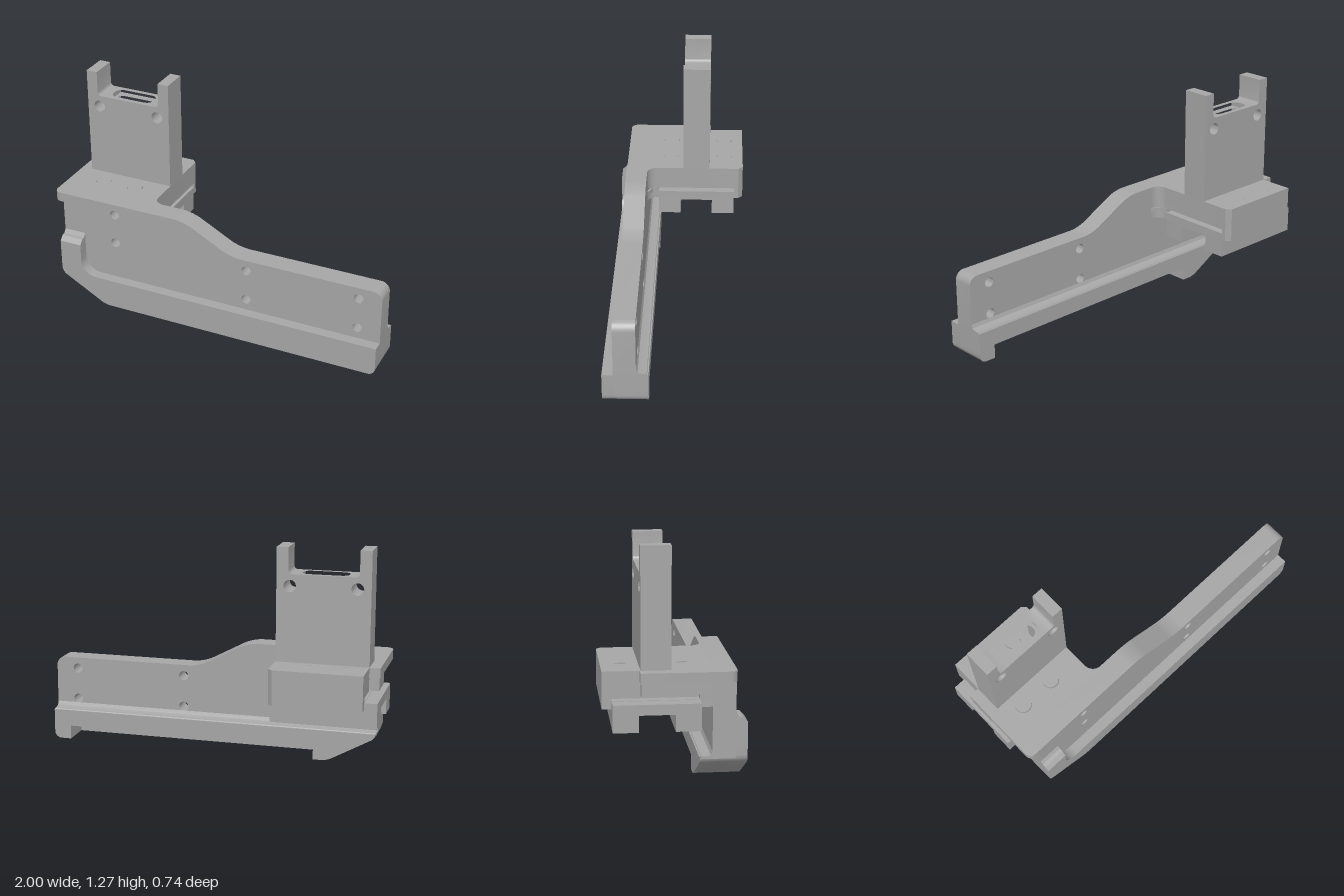
import * as THREE from 'three';
import { toCreasedNormals } from 'three/addons/utils/BufferGeometryUtils.js';

const metal = new THREE.MeshStandardMaterial({ color: 0xa6a6a6 });
metal.name = 'grey metal';

// Closed outline from [u, v, cornerRadius?] points
function outline(points) {
  const s = new THREE.Shape();
  const n = points.length;
  points.forEach(([u, v, r = 0], i) => {
    const toward = ([a, b]) => {
      const d = Math.hypot(a - u, b - v) || 1;
      return [u + ((a - u) * r) / d, v + ((b - v) * r) / d];
    };
    const a = toward(points[(i + n - 1) % n]);
    const b = toward(points[(i + 1) % n]);
    if (i === 0) s.moveTo(a[0], a[1]);
    else s.lineTo(a[0], a[1]);
    if (r) s.bezierCurveTo(a[0] + (u - a[0]) * 0.55, a[1] + (v - a[1]) * 0.55,
      b[0] + (u - b[0]) * 0.55, b[1] + (v - b[1]) * 0.55, b[0], b[1]);
  });
  s.closePath();
  return s;
}

const rect = (u0, v0, u1, v1, r = 0) => [[u0, v0, r], [u1, v0, r], [u1, v1, r], [u0, v1, r]];
const ring = (u, v, r, n = 24) => Array.from({ length: n }, (_, i) =>
  [u + r * Math.cos((i / n) * 2 * Math.PI), v + r * Math.sin((i / n) * 2 * Math.PI)]);

export function createModel() {
  const model = new THREE.Group();

  // Extrude along an axis: points are (x,y) for z, (x,z) for y, (z,y) for x
  function solid(name, axis, from, to, points, holes = []) {
    const map = (list) => list.map(([u, v, r]) =>
      axis === 'z' ? [u, v, r] : axis === 'y' ? [u, -v, r] : [-u, v, r]);
    const shape = outline(map(points));
    shape.holes = holes.map((h) => outline(map(h)));
    let g = new THREE.ExtrudeGeometry(shape, { depth: to - from, bevelEnabled: false, curveSegments: 8 });
    g.translate(0, 0, from);
    if (axis === 'y') g.rotateX(-Math.PI / 2);
    if (axis === 'x') g.rotateY(Math.PI / 2);
    g = toCreasedNormals(g, 0.6);
    const mesh = new THREE.Mesh(g, metal);
    mesh.name = name;
    model.add(mesh);
  }

  // Tall side plate with bolt holes
  const boltHoles = [[-0.6, 0.575], [-0.6, 0.395], [0.215, 0.42], [0.215, 0.235], [0.87, 0.42], [0.87, 0.235]];
  solid('sidePlate', 'z', 0.19, 0.31, [
    [-0.93, 0.17], [1, 0.17], [1, 0.485, 0.05], [0.12, 0.485, 0.06], [-0.17, 0.64, 0.06], [-0.93, 0.64],
  ], boltHoles.map(([x, y]) => ring(x, y, 0.028)));

  // Raised front lip with its stepped left end
  solid('frontLip', 'z', 0.3, 0.37, [
    [-0.93, 0.155, 0.03], [-0.65, 0, 0.03], [1, 0, 0.04], [1, 0.17], [-0.8, 0.17, 0.09],
    [-0.8, 0.3], [-0.93, 0.3],
  ]);
  solid('lipStep', 'x', -0.93, -0.8, [
    [0.305, 0.3], [0.37, 0.3], [0.37, 0.36], [0.345, 0.385], [0.325, 0.388], [0.31, 0.41], [0.305, 0.41],
  ]);

  // Bottom rail, hollowed beneath between two end feet
  solid('bottomRail', 'y', 0.08, 0.175, rect(-0.57, 0.125, 1, 0.305),
    [-0.35, 0.17, 0.69].map((x) => ring(x, 0.215, 0.028)));
  solid('leftFoot', 'z', 0.125, 0.305, [[0.9, 0], [1, 0, 0.04], [1, 0.08], [0.9, 0.08]]);
  solid('rightFoot', 'z', 0.125, 0.305,
    [[-0.57, 0], [-0.65, 0, 0.03], [-0.93, 0.155, 0.03], [-0.93, 0.175], [-0.57, 0.175]]);
  solid('railFillet', 'x', -0.93, 1, [
    [0.2, 0.17], [0.13, 0.17], [0.135, 0.18], [0.165, 0.183], [0.182, 0.19], [0.19, 0.21], [0.2, 0.21],
  ]);

  // Mounting block, stacked in layers, with a fillet into the side plate
  const edge = [[-0.93, -0.37], [-0.44, -0.37], [-0.415, -0.345], [-0.415, 0.19, 0.06], [-0.35, 0.19], [-0.35, 0.2], [-0.93, 0.2]];
  const topEdge = [...edge, [-0.93, 0.31], [-0.99, 0.31, 0.04], [-0.99, -0.18], [-0.93, -0.18]];
  const screws = [[-0.81, -0.26], [-0.605, -0.26], [-0.81, 0.055], [-0.605, 0.055]];
  solid('blockBase', 'y', 0.445, 0.485, edge);
  solid('blockGrooveCore', 'y', 0.485, 0.51, rect(-0.88, -0.33, -0.465, 0.13));
  solid('blockGrooveBack', 'y', 0.485, 0.51, [[-0.93, -0.37], [-0.44, -0.37], [-0.415, -0.345], [-0.415, -0.32], [-0.93, -0.32]]);
  solid('blockGrooveFront', 'y', 0.485, 0.51,
    [[-0.93, 0.125], [-0.415, 0.125], [-0.405, 0.16], [-0.35, 0.19], [-0.35, 0.2], [-0.93, 0.2]]);
  solid('blockBody', 'y', 0.51, 0.585, edge);
  solid('blockShelf', 'y', 0.585, 0.61, topEdge);
  solid('blockTop', 'y', 0.61, 0.64, topEdge, screws.map(([x, z]) => ring(x, z, 0.057)));
  solid('blockTab', 'y', 0.515, 0.585, rect(-0.985, -0.175, -0.92, -0.02));

  // Sunken socket-head screws
  for (const [x, z] of screws) {
    solid('screwHead', 'y', 0.605, 0.632, ring(x, z, 0.045), [ring(x, z, 0.025, 6)]);
  }

  // Slider with a channel underneath
  solid('slider', 'x', -1, -0.418, [
    [0.125, 0.34], [0.125, 0.483], [-0.32, 0.483], [-0.32, 0.34],
    [-0.19, 0.34], [-0.19, 0.428], [-0.005, 0.428], [-0.005, 0.34],
  ]);

  // Upright mast: two pronged columns around a slotted core
  const mid = -0.6725;
  for (const side of [-1, 1]) {
    const at = (d) => mid + side * d;
    solid('mastColumn', 'z', -0.175, -0.02, [
      [at(0.13), 0.63], [at(0.2575), 0.63], [at(0.2575), 1.27], [at(0.193), 1.27],
      [at(0.193), 1.125, 0.02], [at(0.13), 1.125],
    ], [ring(at(0.184), 1.06, 0.034)]);
  }
  const core = rect(mid - 0.13, -0.175, mid + 0.13, -0.02);
  const slot = (w, d, r) => [rect(mid - w, -0.0975 - d, mid + w, -0.0975 + d, r)];
  solid('mastCore', 'y', 0.63, 0.8, core);
  solid('mastSlot', 'y', 0.8, 1.095, core, slot(0.112, 0.036, 0.03));
  solid('mastSlotRim', 'y', 1.095, 1.125, core, slot(0.128, 0.05, 0.04));

  return model;
}
